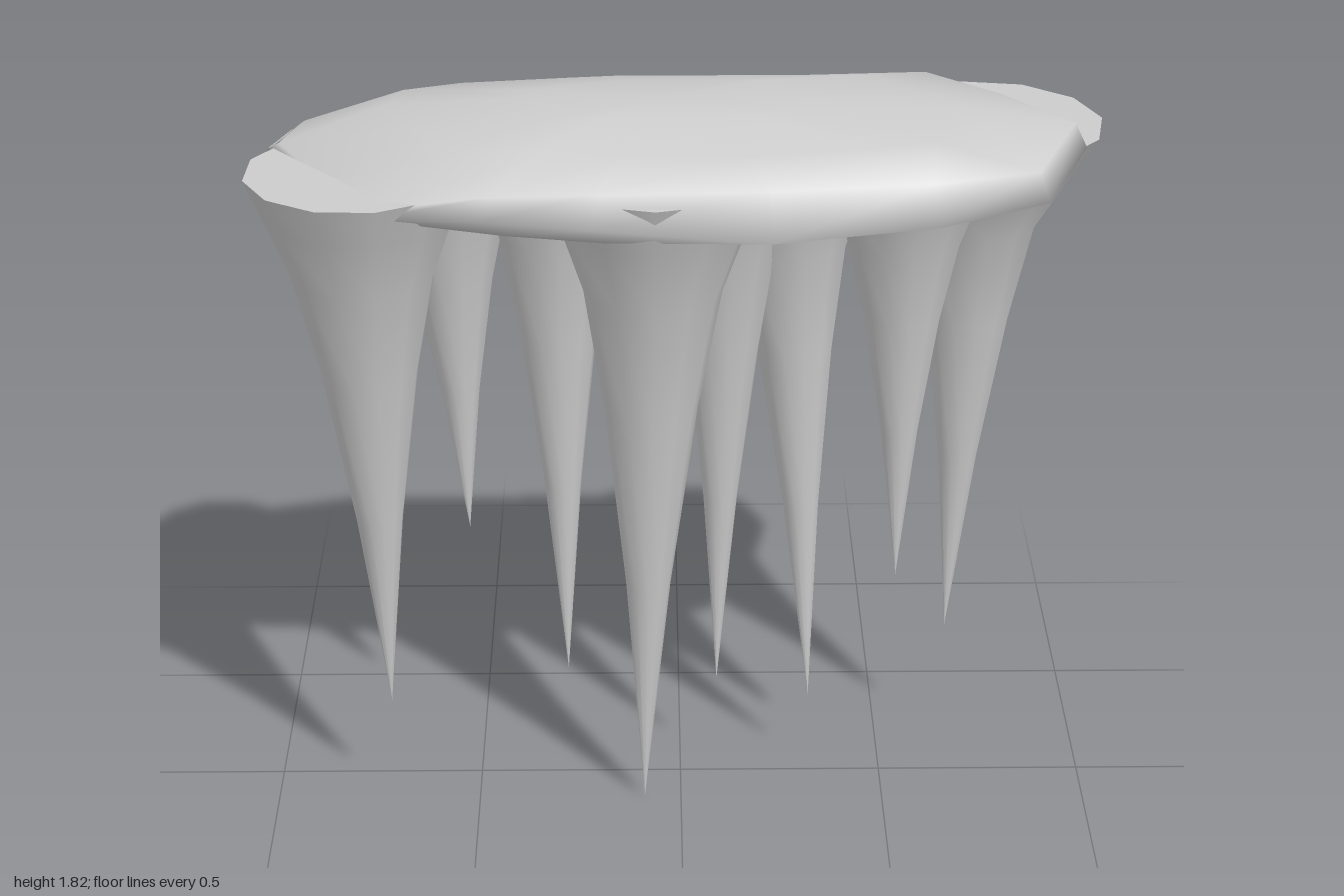
import * as THREE from 'three';
import { mergeGeometries } from 'three/addons/utils/BufferGeometryUtils.js';

const material = new THREE.MeshStandardMaterial({ color: 0xcccccc });
const SIDES = 12;
const TOP = 1.69;

// Flared hanging spike: tip [x, y, z], centre of its flat top [x, z], radius of body and top, turn
function spike(tip, top, body, rim, turn) {
  const profile = [
    [0, 0], [body * 0.33, 0.36], [body * 0.68, 0.64], [body, 0.82],
    [body + (rim - body) * 0.6, 0.93], [rim, 1],
  ].map(([r, y]) => new THREE.Vector2(r, y));
  const lid = [new THREE.Vector2(rim, 1), new THREE.Vector2(0, 1)];
  const geometry = mergeGeometries([profile, lid].map(
    (points) => new THREE.LatheGeometry(points, SIDES, turn)));
  // Stretch the unit height along the leaning axis
  const lean = new THREE.Matrix4().makeBasis(
    new THREE.Vector3(1, 0, 0),
    new THREE.Vector3(top[0] - tip[0], TOP - tip[1], top[1] - tip[2]),
    new THREE.Vector3(0, 0, 1));
  lean.setPosition(...tip);
  geometry.applyMatrix4(lean);
  return new THREE.Mesh(geometry, material);
}

// Rock slab: rings of one outline, scaled and lifted, closed at both centres
function slab() {
  // x, z, height of the rim and height of the wall above it, going round from the left end
  const outline = [
    [-0.96, 0.0, 1.685, 0.015], [-0.84, 0.2, 1.66, 0.02], [-0.72, 0.375, 1.655, 0.02],
    [-0.45, 0.39, 1.655, 0.055], [-0.2, 0.405, 1.64, 0.08], [0.2, 0.415, 1.61, 0.12],
    [0.58, 0.37, 1.63, 0.1], [0.83, 0.32, 1.67, 0.07], [0.94, 0.05, 1.70, 0.06],
    [0.78, -0.14, 1.70, 0.065], [0.61, -0.33, 1.70, 0.055], [0.43, -0.335, 1.70, 0.04],
    [-0.2, -0.335, 1.69, 0.04], [-0.37, -0.305, 1.68, 0.03], [-0.72, -0.24, 1.665, 0.015],
    [-0.91, -0.155, 1.68, 0.02],
  ];
  const n = outline.length;
  const cx = -0.03, cz = 0.04;
  const under = (x) => 1.59 + 0.08 * x * x;
  const rings = [
    [0.5, under],
    [0.88, under],
    [1, (x, z, rim) => rim],
    [0.97, (x, z, rim, wall) => rim + wall],
    [0.7, (x, z) => 1.797 - 0.13 * z * z],
    [0.35, () => 1.818],
  ];
  const positions = [cx, 1.59, cz];
  for (const [s, height] of rings) {
    for (const [x, z, rim, wall] of outline) {
      positions.push(cx + (x - cx) * s, height(x, z, rim, wall), cz + (z - cz) * s);
    }
  }
  positions.push(cx, 1.825, cz);
  const last = positions.length / 3 - 1;
  const index = [];
  for (let i = 0; i < n; i++) {
    const j = (i + 1) % n;
    index.push(0, 1 + j, 1 + i);
    for (let r = 0; r < rings.length - 1; r++) {
      const a = 1 + r * n + i, b = 1 + r * n + j;
      index.push(a, b, b + n, a, b + n, a + n);
    }
    index.push(last - n + i, last - n + j, last);
  }
  const geometry = new THREE.BufferGeometry();
  geometry.setAttribute('position', new THREE.Float32BufferAttribute(positions, 3));
  geometry.setIndex(index);
  geometry.computeVertexNormals();
  return new THREE.Mesh(geometry, material);
}

export function createModel() {
  const group = new THREE.Group();
  group.name = 'stalactites';

  const rock = slab();
  rock.name = 'rockSlab';
  group.add(rock);

  // Tip, top centre, body radius, top radius, turn
  const spikes = [
    [[-0.71, 0.29, 0.13], [-0.74, 0.16], 0.168, 0.262, 0.22],
    [[-0.52, 0.64, -0.12], [-0.56, -0.14], 0.145, 0.205, 0.3],
    [[-0.28, 0.26, -0.08], [-0.3, -0.1], 0.135, 0.22, 0.1],
    [[-0.09, 0.01, 0.13], [-0.06, 0.15], 0.162, 0.27, 0],
    [[0.09, 0.26, -0.02], [0.11, 0], 0.125, 0.2, 0.1],
    [[0.32, 0.21, -0.03], [0.25, -0.08], 0.135, 0.24, 0.2],
    [[0.52, 0.62, 0.11], [0.52, 0.09], 0.135, 0.21, 0.1],
    [[0.67, 0.33, -0.17], [0.715, -0.145], 0.148, 0.288, 0.1],
  ];
  spikes.forEach((args, i) => {
    const mesh = spike(...args);
    mesh.name = `spike${i + 1}`;
    group.add(mesh);
  });
  return group;
}
